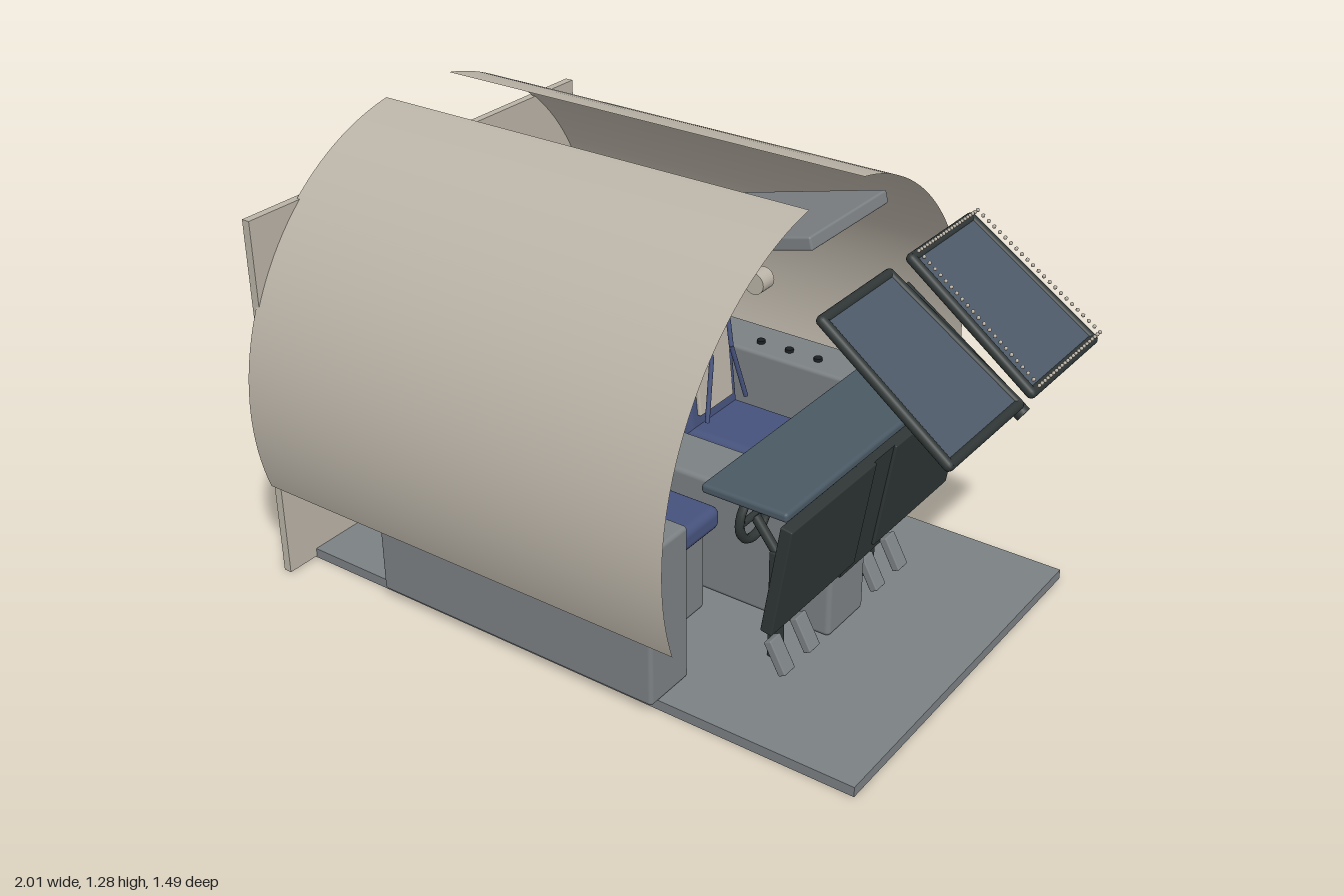
import * as THREE from 'three';
import { RoundedBoxGeometry } from 'three/addons/geometries/RoundedBoxGeometry.js';

const mat = (name, color, side = THREE.FrontSide) => {
  const m = new THREE.MeshStandardMaterial({ color, side });
  m.name = name;
  return m;
};

export function createModel() {
  const root = new THREE.Group();
  root.name = 'cockpit';
  const beige = mat('beige lining', 0xbab3a7, THREE.DoubleSide);
  const grey = mat('grey structure', 0x7b8083);
  const dark = mat('dark panel', 0x2f3635);
  const slate = mat('slate glareshield', 0x4a5964);
  const glass = mat('windscreen glass', 0x4c5866);
  const blue = mat('blue upholstery', 0x46527c);
  const amber = mat('amber button', 0xd8a742);
  const black = mat('black display', 0x1b2022);

  const add = (name, geo, m, x = 0, y = 0, z = 0, parent = root) => {
    const mesh = new THREE.Mesh(geo, m);
    mesh.name = name;
    mesh.position.set(x, y, z);
    parent.add(mesh);
    return mesh;
  };
  // box from its limits on each axis, rounded when r > 0
  const box = (name, m, [x0, x1], [y0, y1], [z0, z1], r = 0, parent = root) => {
    const s = [x1 - x0, y1 - y0, z1 - z0];
    const g = r ? new RoundedBoxGeometry(...s, 2, r) : new THREE.BoxGeometry(...s);
    return add(name, g, m, (x0 + x1) / 2, (y0 + y1) / 2, (z0 + z1) / 2, parent);
  };
  // straight rod between two points
  const rod = (name, m, a, b, r, parent = root) => {
    const p = new THREE.Vector3(...a), q = new THREE.Vector3(...b);
    const mesh = add(name, new THREE.CylinderGeometry(r, r, p.distanceTo(q), 14), m, 0, 0, 0, parent);
    mesh.position.copy(p).add(q).multiplyScalar(0.5);
    mesh.quaternion.setFromUnitVectors(new THREE.Vector3(0, 1, 0), q.sub(p).normalize());
    return mesh;
  };

  // floor, rear wall and door
  box('floor', grey, [-1, 0.89], [0.005, 0.035], [-0.575, 0.575]);
  box('rearWall', beige, [-0.96, -0.935], [0.01, 1.11], [-0.68, 0.68]);
  box('door', beige, [-0.967, -0.928], [0.04, 1.075], [-0.205, 0.205]);

  // two curved side shells, open along the roof
  for (const [name, start] of [['leftShell', -0.335], ['rightShell', Math.PI - 1.395]]) {
    const g = new THREE.CylinderGeometry(0.745, 0.745, 1.385, 40, 1, true, start, 1.73);
    add(name, g.rotateZ(Math.PI / 2), beige, -0.2525, 0.555, 0);
  }

  // overhead panel, lower at the rear
  const overhead = new THREE.Group();
  overhead.name = 'overheadPanel';
  overhead.position.set(0.175, 1.15, 0);
  overhead.rotation.z = 0.25;
  root.add(overhead);
  box('overheadBoard', grey, [-0.315, 0.315], [-0.018, 0.018], [-0.183, 0.183], 0.006, overhead);

  // centre pedestal and its control panels
  box('pedestal', grey, [-0.12, 0.52], [0.035, 0.4], [-0.092, 0.092], 0.015);
  for (const x of [-0.345, -0.24, -0.135]) {
    box('pedestalPanel', dark, [x - 0.044, x + 0.044], [0.4, 0.415], [-0.08, 0.08]);
    for (let i = 0; i < 4; i++) {
      const z = -0.05 + i * 0.033;
      box('pedestalButton', amber, [x - 0.013, x + 0.013], [0.41, 0.424], [z - 0.01, z + 0.01]);
    }
  }

  // glareshield with its row of buttons
  box('glareshield', slate, [0.38, 0.63], [0.655, 0.682], [-0.5, 0.5], 0.01);
  const zs = [0.367, 0.283, 0.2, 0.122, 0.04, -0.04, -0.122, -0.204, -0.283, -0.367];
  zs.forEach((z, i) => box('glareshieldButton', i === 3 || i === 8 ? grey : amber,
    [0.52, 0.545], [0.625, 0.648], [z - 0.025, z + 0.025], 0.004));

  // tilted instrument panel
  const panel = new THREE.Group();
  panel.name = 'instrumentPanel';
  panel.position.set(0.575, 0.443, 0);
  panel.rotation.z = -0.16;
  root.add(panel);
  box('centrePanel', dark, [-0.022, 0.01], [-0.19, 0.165], [-0.105, 0.105], 0, panel);
  for (const s of [1, -1]) {
    const span = (a, b) => s > 0 ? [a, b] : [-b, -a];
    box('sidePanel', dark, [-0.017, 0.018], [-0.165, 0.165], span(0.05, 0.457), 0.004, panel);
    for (const z of [0.075, 0.265])
      box('display', black, [-0.025, -0.016], [-0.1, 0.13], span(z, z + 0.17), 0, panel);
  }

  // windscreen panes in a dark frame, sloping down to the nose
  const pane = (inset, depth) => {
    const i = inset;
    const sh = new THREE.Shape([[-0.225 + i, 0.05 + i], [0.225 - i, 0.03 + i],
      [0.225 - i, 0.39 - i], [-0.225 + i, 0.37 - i]].map(p => new THREE.Vector2(...p)));
    const g = new THREE.ExtrudeGeometry(sh, { depth, bevelEnabled: false });
    return { sh, g: g.translate(0, 0, -depth / 2).rotateX(-Math.PI / 2) };
  };
  for (const s of [1, -1]) {
    const screen = new THREE.Group();
    screen.name = s > 0 ? 'leftWindscreen' : 'rightWindscreen';
    screen.position.set(0.805, 1.012, 0);
    screen.rotation.z = -0.62;
    root.add(screen);
    const centre = s > 0 ? -0.0 : 0;
    const glassMesh = add('glass', pane(0.008, 0.016).g, glass, 0, 0, centre, screen);
    // panes are drawn on the right side; turn them over for the left
    if (s > 0) glassMesh.rotation.x = Math.PI;
    const pts = pane(0.005, 0.01).sh.getPoints().slice(0, 4);
    for (let k = 0; k < 4; k++) {
      const a = pts[k], b = pts[(k + 1) % 4];
      rod('frameBar', dark, [a.x, 0, s * a.y], [b.x, 0, s * b.y], 0.014, screen);
      add('frameCorner', new THREE.SphereGeometry(0.014, 10, 8), dark, a.x, 0, s * a.y, screen);
      // rivet row standing off the right pane
      if (s < 0) for (let j = 0; j < 22; j++) {
        const p = a.clone().lerp(b, j / 22);
        add('rivet', new THREE.SphereGeometry(0.0055, 6, 4), beige, p.x, 0.032, -p.y, screen);
      }
    }
  }
  rod('centrePost', dark, [0.635, 1.085, 0], [0.985, 0.84, 0], 0.021);

  for (const s of [1, -1]) {
    const side = new THREE.Group();
    side.name = s > 0 ? 'leftStation' : 'rightStation';
    root.add(side);
    const span = (a, b) => s > 0 ? [a, b] : [-b, -a];

    // side console with stick and knobs
    box('sideConsole', grey, [-0.63, 0.305], [0.035, 0.505], span(0.445, 0.61), 0.012, side);
    for (const x of [-0.1, 0, 0.1])
      add('consoleKnob', new THREE.CylinderGeometry(0.013, 0.013, 0.014, 12), black, x, 0.508, s * 0.505, side);
    const lamp = new THREE.CylinderGeometry(0.035, 0.035, 0.06, 20).rotateX(Math.PI / 2);
    add('wallLamp', lamp, beige, -0.16, 0.665, s * 0.58, side);

    // seat
    const c = s * 0.265;
    const seat = new THREE.Group();
    seat.name = 'seat';
    seat.position.z = c;
    side.add(seat);
    box('seatBase', grey, [-0.16, 0.16], [0.035, 0.3], [-0.105, 0.105], 0.015, seat);
    box('seatCushion', blue, [-0.18, 0.2], [0.3, 0.37], [-0.125, 0.125], 0.025, seat);
    const back = box('seatBack', blue, [-0.19, -0.12], [0.33, 0.785], [-0.125, 0.125], 0.025, seat);
    const pad = box('backPad', beige, [-0.125, -0.11], [0.4, 0.755], [-0.085, 0.085], 0.006, seat);
    const head = box('headrest', blue, [-0.22, -0.155], [0.775, 0.875], [-0.077, 0.077], 0.02, seat);
    for (const m of [back, pad, head]) m.rotation.z = 0.1;
    for (const t of [1, -1]) {
      rod('strap', blue, [-0.12, 0.755, t * 0.07], [-0.08, 0.58, t * 0.05], 0.007, seat);
      rod('strap', blue, [-0.08, 0.58, t * 0.05], [-0.06, 0.4, t * 0.1], 0.007, seat);
    }

    // control column and wheel
    box('controlColumn', dark, [0.425, 0.46], [0.035, 0.37], span(0.22, 0.255), 0.006, side);
    rod('wheelShaft', dark, [0.44, 0.36, s * 0.237], [0.37, 0.45, s * 0.237], 0.014, side);
    const wheel = add('controlWheel', new THREE.TorusGeometry(0.065, 0.013, 8, 24), dark, 0.365, 0.45, s * 0.237, side);
    wheel.rotation.set(0, Math.PI / 2, 0);
    rod('wheelSpoke', dark, [0.365, 0.45, s * 0.237 - 0.065], [0.365, 0.45, s * 0.237 + 0.065], 0.01, side);

    // rudder pedals
    for (const z of [0.175, 0.3]) {
      const pedal = box('rudderPedal', grey, [0.482, 0.507], [0.045, 0.148], span(z - 0.025, z + 0.025), 0.004, side);
      pedal.rotation.z = 0.5;
    }
  }
  return root;
}
